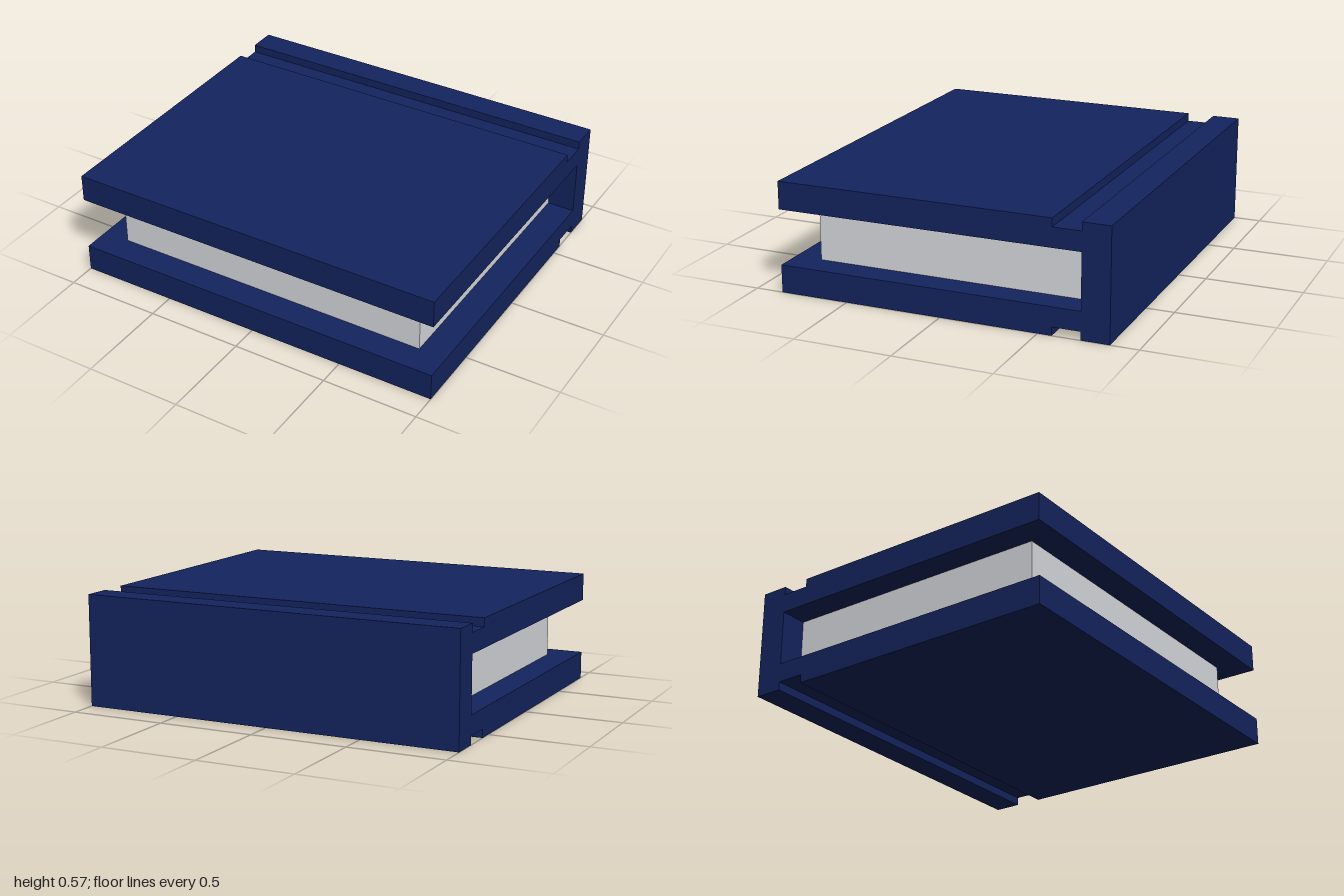
import * as THREE from 'three';

const U = 1 / 7; // board thickness; every main size is a multiple of it
const GROOVE = 0.043; // depth of the hinge grooves
const WIDTH = 14 * U;
const HEIGHT = 4 * U;

// Case outline seen from the side: two boards joined by the spine, with hinge grooves
function caseGeometry() {
  const lower = [ // [z, distance from mid height], walked from inside to the spine's outer face
    [-5 * U, U], [6 * U, U], [6 * U, 2 * U], [-4 * U, 2 * U],
    [-4 * U, 2 * U - GROOVE], [-5 * U, 2 * U - GROOVE],
    [-5 * U, 2 * U], [-6 * U, 2 * U],
  ];
  const mid = HEIGHT / 2;
  const points = [
    ...lower.map(([z, d]) => new THREE.Vector2(-z, mid - d)),
    ...lower.slice().reverse().map(([z, d]) => new THREE.Vector2(-z, mid + d)),
  ];
  const geometry = new THREE.ExtrudeGeometry(new THREE.Shape(points), {
    depth: WIDTH, bevelEnabled: false,
  });
  return geometry.translate(0, 0, -WIDTH / 2).rotateY(Math.PI / 2);
}

export function createModel() {
  const model = new THREE.Group();
  model.name = 'book';

  // Hard cover
  const cover = new THREE.Mesh(
    caseGeometry(),
    new THREE.MeshStandardMaterial({ color: 0x14245f })
  );
  cover.name = 'cover';

  // Page block, set in from the boards on three sides
  const pages = new THREE.Mesh(
    new THREE.BoxGeometry(12 * U, 2 * U, 10 * U),
    new THREE.MeshStandardMaterial({ color: 0xd9dbe0 })
  );
  pages.name = 'pages';
  pages.position.y = HEIGHT / 2;

  model.add(cover, pages);
  return model;
}
